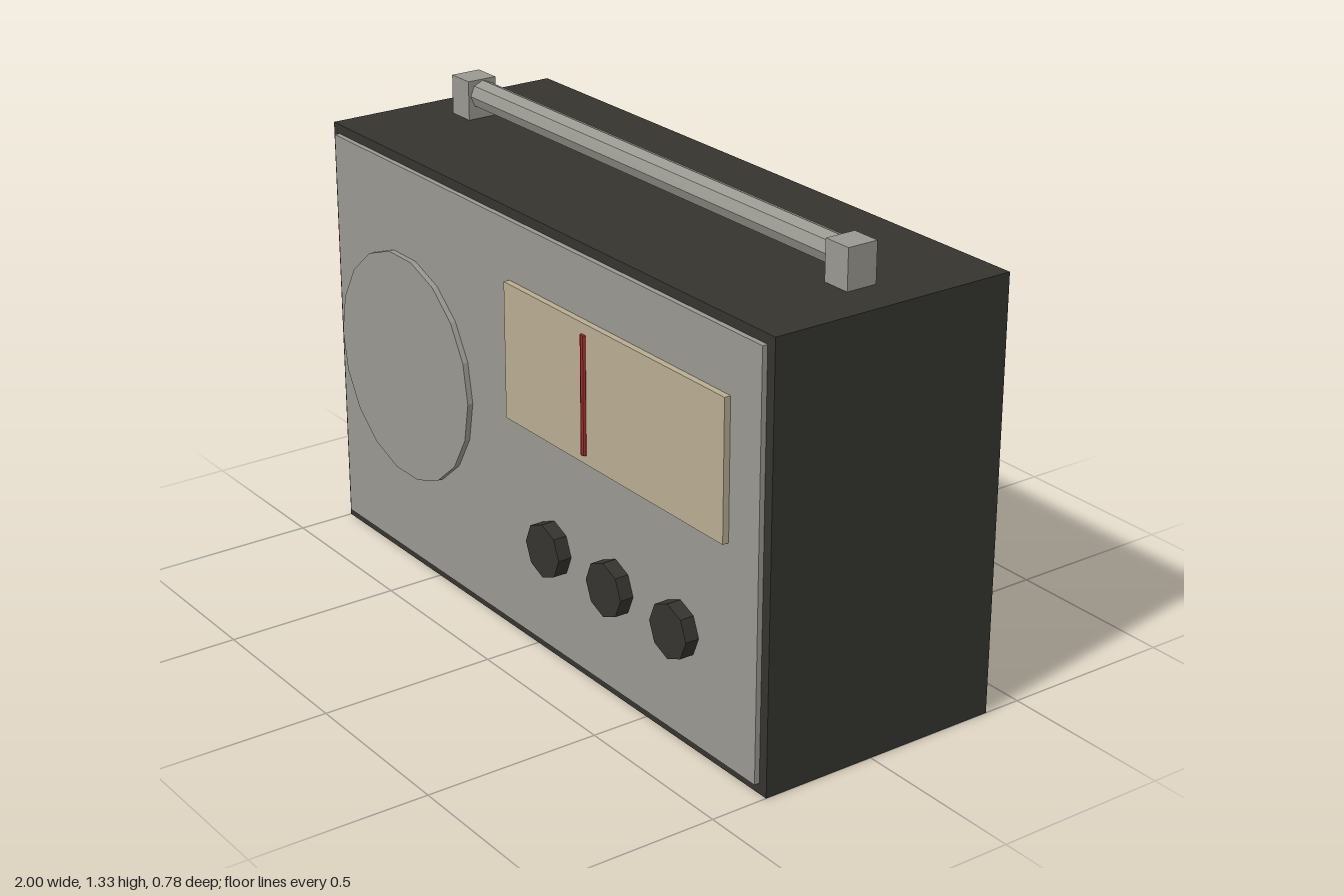
import * as THREE from 'three';

const paint = (color) => new THREE.MeshStandardMaterial({ color, flatShading: true });

export function createModel() {
  const radio = new THREE.Group();
  radio.name = 'portableRadio';

  const dark = paint(0x35342f);
  const silver = paint(0x999890);
  const cream = paint(0xb9ad92);
  const red = paint(0xa02c2c);

  const add = (name, geometry, material, x, y, z) => {
    const mesh = new THREE.Mesh(geometry, material);
    mesh.name = name;
    mesh.position.set(x, y, z);
    radio.add(mesh);
    return mesh;
  };

  // box from its minimum and maximum corners
  const addBox = (name, material, [x0, y0, z0], [x1, y1, z1]) =>
    add(name, new THREE.BoxGeometry(x1 - x0, y1 - y0, z1 - z0), material,
      (x0 + x1) / 2, (y0 + y1) / 2, (z0 + z1) / 2);

  // disc facing the front, between two depths, with a corner on the x axis
  const addDisc = (name, material, x, y, radius, sides, z0, z1) => {
    const disc = new THREE.CylinderGeometry(radius, radius, z1 - z0, sides, 1, false, Math.PI / 2);
    add(name, disc.rotateX(Math.PI / 2), material, x, y, (z0 + z1) / 2);
  };

  // case and front panel
  addBox('case', dark, [-1, 0, -0.39], [1, 1.222, 0.335]);
  addBox('frontPanel', silver, [-0.972, 0.03, 0.32], [0.972, 1.195, 0.35]);

  // speaker
  addDisc('speaker', silver, -0.613, 0.613, 0.332, 18, 0.34, 0.366);

  // tuning dial and needle
  addBox('tuningDial', cream, [-0.088, 0.645, 0.34], [0.855, 1.03, 0.368]);
  add('tuningNeedle', new THREE.CylinderGeometry(0.009, 0.009, 0.33, 8), red, 0.275, 0.835, 0.369);

  // control knobs
  for (const x of [0.107, 0.385, 0.663]) {
    addDisc('knob', dark, x, 0.335, 0.077, 8, 0.34, 0.39);
  }

  // carrying handle: two end blocks and an octagonal bar
  for (const side of [-1, 1]) {
    add('handleBlock', new THREE.BoxGeometry(0.085, 0.125, 0.09), silver, side * 0.832, 1.272, -0.027);
  }
  const bar = new THREE.CylinderGeometry(0.041, 0.041, 1.6, 8).rotateZ(Math.PI / 2);
  add('handleBar', bar, silver, 0, 1.29, -0.03);

  return radio;
}
